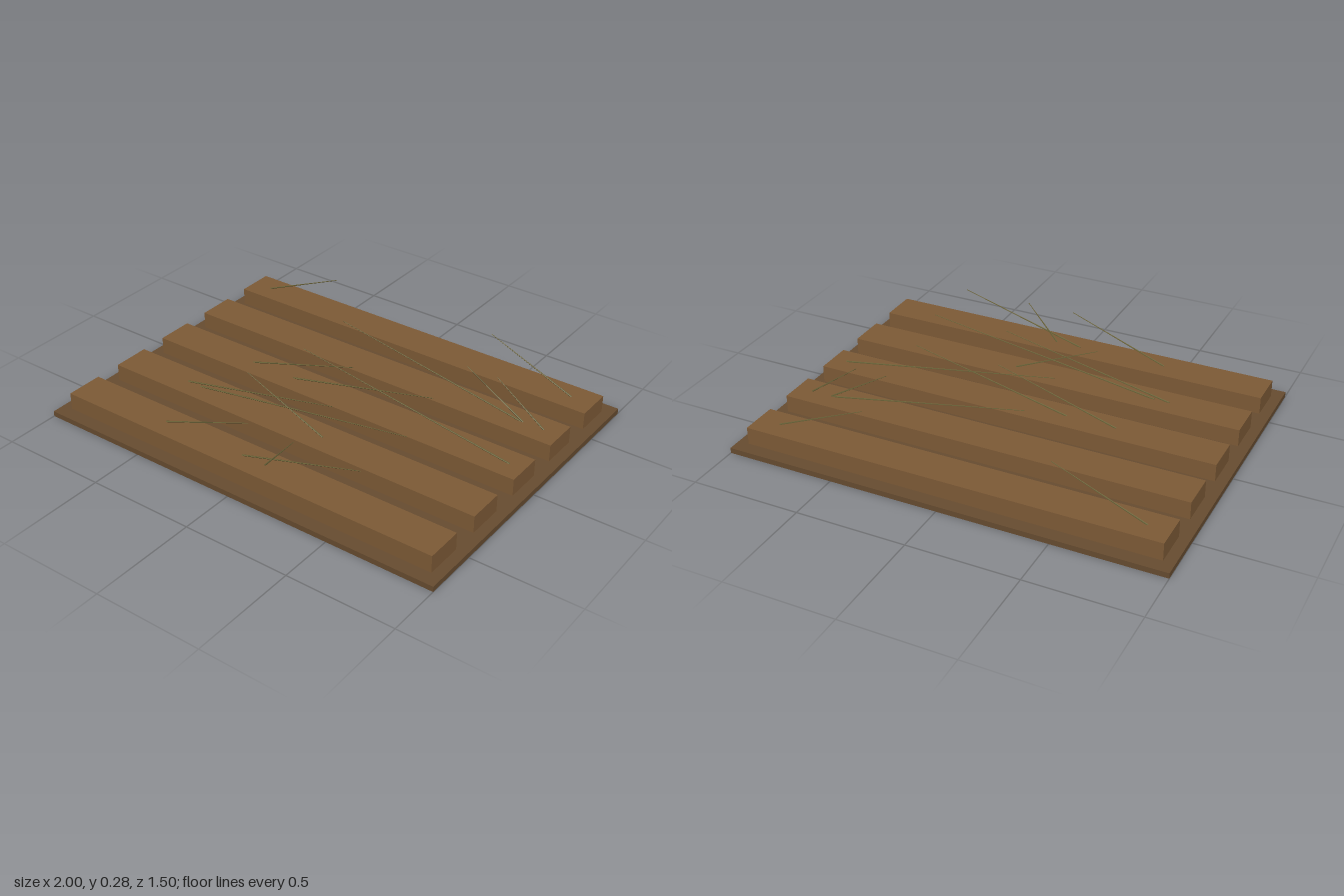
import * as THREE from 'three';

export function createModel() {
  const model = new THREE.Group();
  const mat = (color) => new THREE.MeshStandardMaterial({ color, flatShading: true });
  const soil = mat(0x674c30), ridgeSoil = mat(0x7d5a36), straw = mat(0x6b6338);

  const add = (name, geometry, material, x, y, z) => {
    const mesh = new THREE.Mesh(geometry, material);
    mesh.name = name;
    mesh.position.set(x, y, z);
    model.add(mesh);
    return mesh;
  };

  // Flat bed of soil
  add('soilBed', new THREE.BoxGeometry(2, 0.025, 1.5), soil, 0, 0.0125, 0);

  // Each row: z, then [root x, tip x] of the stalks leaning along it
  const rows = [
    [-0.6, [[-0.85, -0.44], [0.84, 0.42]]],
    [-0.3, [[0.76, -0.18], [0.77, 0.48], [0.87, 0.63]]],
    [0, [[-0.47, 0.09], [-0.24, 0.5], [0.88, -0.18]]],
    [0.3, [[-0.6, 0.2], [-0.53, 0.57], [0.15, -0.25]]],
    [0.6, [[-0.46, 0], [-0.04, 0.56], [0.08, 0.23]]],
  ];
  const rootY = 0.104, tipY = 0.278;
  const up = new THREE.Vector3(0, 1, 0);

  for (const [z, stalks] of rows) {
    // Raised ridge
    add('ridge', new THREE.BoxGeometry(1.9, 0.08, 0.174), ridgeSoil, 0, 0.065, z);

    // Thin tapered stalks leaning over the ridge
    for (const [rootX, tipX] of stalks) {
      const dir = new THREE.Vector3(tipX - rootX, tipY - rootY, 0);
      const stalk = add('stalk', new THREE.CylinderGeometry(0.0015, 0.004, dir.length(), 5),
        straw, (rootX + tipX) / 2, (rootY + tipY) / 2, z);
      stalk.quaternion.setFromUnitVectors(up, dir.normalize());
    }
  }
  return model;
}
